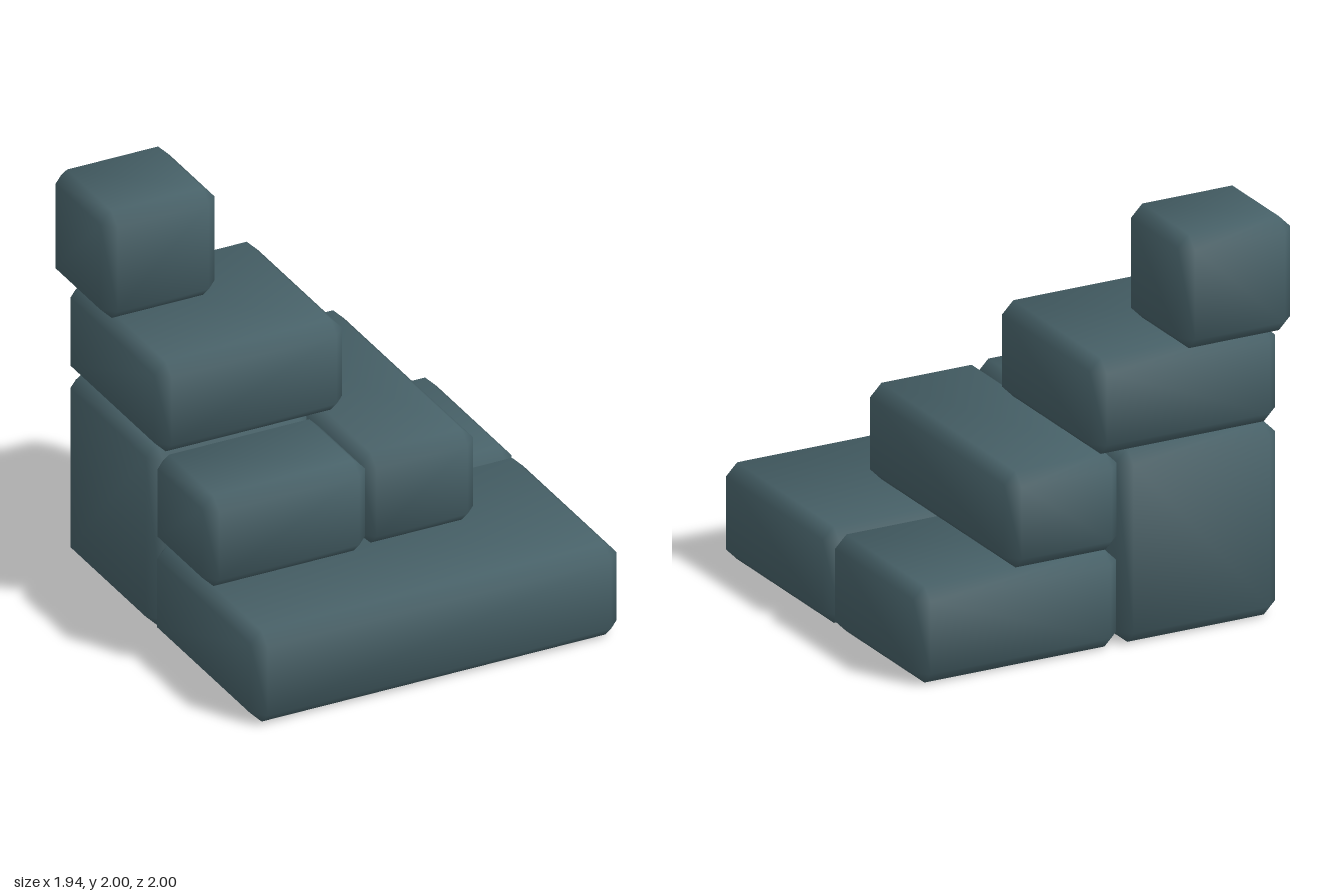
import * as THREE from 'three';

const CHAMFER = 0.06;

// Box with chamfered edges and soft shading: every face is inset, then joined by edge strips and corner triangles.
function chamferedBox(size) {
  const half = size.map((s) => s / 2);
  const positions = [], normals = [], index = [];
  const signs = [-1, 1];

  // One vertex per face axis at each of the eight corners
  for (let axis = 0; axis < 3; axis++) {
    for (let corner = 0; corner < 8; corner++) {
      const normal = new THREE.Vector3();
      for (let i = 0; i < 3; i++) {
        const s = corner & (1 << i) ? 1 : -1;
        positions.push(s * (half[i] - (i === axis ? 0 : CHAMFER)));
        normal.setComponent(i, s * (i === axis ? 1 : 0.39));
      }
      normals.push(...normal.normalize().toArray());
    }
  }
  const id = (axis, s) => axis * 8 + s.reduce((sum, v, i) => sum + (v > 0 ? 1 << i : 0), 0);
  const point = (i) => new THREE.Vector3().fromArray(positions, i * 3);

  // Adds a triangle turned outward
  const triangle = (a, b, c) => {
    const [p, q, r] = [a, b, c].map(point);
    const n = q.clone().sub(p).cross(r.clone().sub(p));
    if (n.dot(p.add(q).add(r)) > 0) index.push(a, b, c);
    else index.push(a, c, b);
  };
  const quad = (a, b, c, d) => { triangle(a, b, c); triangle(a, c, d); };
  const at = (a, sa, b, sb, c, sc) => {
    const s = [0, 0, 0];
    s[a] = sa; s[b] = sb; s[c] = sc;
    return s;
  };

  for (let a = 0; a < 3; a++) {
    const b = (a + 1) % 3, c = (a + 2) % 3;
    for (const sa of signs) {
      // Main face
      quad(...[[-1, -1], [1, -1], [1, 1], [-1, 1]].map(([sb, sc]) => id(a, at(a, sa, b, sb, c, sc))));
      for (const sb of signs) {
        // Edge strip
        const low = at(a, sa, b, sb, c, -1), high = at(a, sa, b, sb, c, 1);
        quad(id(a, low), id(a, high), id(b, high), id(b, low));
      }
    }
  }
  // Corner triangles
  for (let corner = 0; corner < 8; corner++) triangle(corner, 8 + corner, 16 + corner);

  const geometry = new THREE.BufferGeometry();
  geometry.setAttribute('position', new THREE.Float32BufferAttribute(positions, 3));
  geometry.setAttribute('normal', new THREE.Float32BufferAttribute(normals, 3));
  geometry.setIndex(index);
  return geometry;
}

export function createModel() {
  const model = new THREE.Group();
  model.name = 'steppedBlockStack';
  const stone = new THREE.MeshStandardMaterial({ color: 0x466067 });
  stone.name = 'slate';

  // Name, lowest corner, highest corner
  const blocks = [
    ['baseFrontBlock', [-0.94, 0, -0.045], [0.97, 0.48, 1]],
    ['baseBackBlock', [-0.1, 0, -0.91], [0.97, 0.48, -0.045]],
    ['tallCornerBlock', [-0.94, 0, -0.91], [-0.1, 0.958, -0.04]],
    ['middleFrontBlock', [-0.94, 0.48, -0.04], [-0.09, 0.958, 0.52]],
    ['middleSideBlock', [-0.105, 0.48, -0.91], [0.49, 0.958, 0.49]],
    ['upperBlock', [-0.94, 0.958, -0.91], [0.04, 1.435, 0.045]],
    ['topBlock', [-0.97, 1.435, -1], [-0.375, 2, -0.435]],
  ];
  for (const [name, low, high] of blocks) {
    const mesh = new THREE.Mesh(chamferedBox(low.map((v, i) => high[i] - v)), stone);
    mesh.name = name;
    mesh.position.set(...low.map((v, i) => (v + high[i]) / 2));
    model.add(mesh);
  }
  return model;
}
